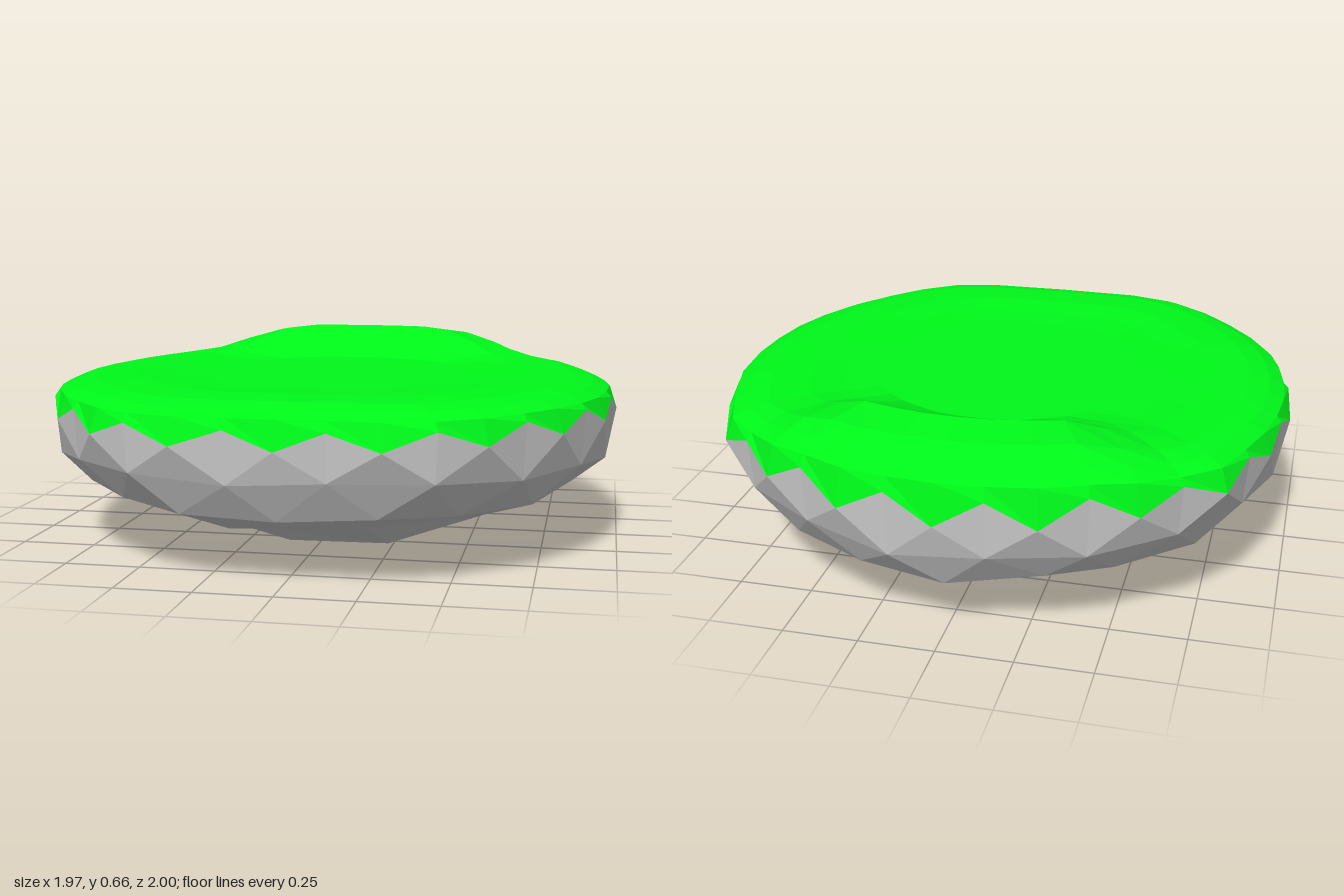
import * as THREE from 'three';

const N = 20; // facets round the rim; the grass uses twice as many columns

// Rim radius every 9 degrees, from the front (+z) round to the back (-z)
const RIM = [
  0.997, 1.005, 1.04, 1.062, 1.05, 1.03, 1.02, 1.01, 1.0, 0.99, 0.987,
  0.985, 0.99, 1.0, 1.028, 1.01, 1.012, 1.005, 1.012, 1.003, 1.0,
];

// Rim radius at step t (18 degrees each), mirrored left to right
function rim(t) {
  let h = (((t % N) + N) % N) * 2;
  if (h > N) h = 2 * N - h;
  const i = Math.min(Math.floor(h), N - 1);
  return THREE.MathUtils.lerp(RIM[i], RIM[i + 1], h - i);
}

// Point at step t, at fraction f of the rim radius
function polar(t, f, y) {
  const a = (t / N) * Math.PI * 2, r = rim(t) * f;
  return [Math.sin(a) * r, y, Math.cos(a) * r];
}

// Strength of the raised mound, strongest at the back
function mound(t) {
  const degrees = Math.abs(((t % N) + N) % N - N / 2) * 360 / N;
  return 1 - THREE.MathUtils.smoothstep(degrees, 21, 52);
}

// 0 at front and back, 1 at the left and right
const sideways = (t) => Math.abs(Math.sin((t / N) * Math.PI * 2));

// Zigzag seam where the grass hangs over the rock
function seam(k) {
  const t = k / 2;
  return k % 2 === 0
    ? polar(t, 1, 0.432 + 0.02 * sideways(t))
    : polar(t, 0.99, 0.488 + 0.02 * sideways(t) + 0.03 * mound(t));
}

const wobble = (i, s) => Math.sin(i * 2.4 + s * 1.7) * Math.cos(i * 1.3 + s);

function facetMesh(name, triangles, color) {
  const geometry = new THREE.BufferGeometry();
  geometry.setAttribute('position', new THREE.Float32BufferAttribute(triangles.flat(2), 3));
  geometry.computeVertexNormals();
  const mesh = new THREE.Mesh(geometry, new THREE.MeshStandardMaterial({ color, flatShading: true }));
  mesh.name = name;
  return mesh;
}

function makeGrass() {
  // [fraction of rim, plain height, height on the mound]
  const profile = [
    [0.3, 0.556, 0.556], [0.47, 0.556, 0.558], [0.59, 0.56, 0.61], [0.71, 0.567, 0.664],
    [0.85, 0.562, 0.645], [0.92, 0.548, 0.605], [0.972, 0.525, 0.565],
  ];
  const columns = Array.from({ length: N * 2 }, (_, k) => k);
  const rings = profile.map(([f, y, top]) => columns.map((k) =>
    polar(k / 2, f, THREE.MathUtils.lerp(y, top, mound(k / 2)))));
  rings.push(columns.map(seam));
  const triangles = [];
  for (const k of columns) {
    const n = (k + 1) % (N * 2);
    triangles.push([[0, 0.556, 0], rings[0][k], rings[0][n]]);
    for (let r = 0; r < rings.length - 1; r++) {
      const a = rings[r], b = rings[r + 1];
      triangles.push([a[k], b[k], b[n]], [a[k], b[n], a[n]]);
    }
  }
  return facetMesh('grass', triangles, 0x00f81a);
}

function makeRock() {
  const ring = (count, make) => Array.from({ length: count }, (_, i) => make(i));
  const peaks = ring(N, (i) => seam(2 * i + 1));
  const dips = ring(N, (i) => seam(2 * i));
  const waist = ring(N, (i) => polar(i + 0.5, 0.975, 0.325 + 0.025 * wobble(i, 1)));
  const hip = ring(N, (i) => {
    const s = sideways(i);
    return polar(i + 0.15 * wobble(i, 4), 0.905 - 0.02 * s, 0.2 + 0.035 * s + 0.02 * wobble(i, 2));
  });
  const belly = ring(N / 2, (i) =>
    polar(2 * i + 1, 0.69, 0.12 + 0.035 * sideways(2 * i + 1) + 0.012 * wobble(i, 3)));
  // Underside shelf, moved forward and lower on the +x side
  const base = ring(N / 4, (i) => {
    const [x, , z] = polar(4 * i + 2, 0.42, 0);
    return [x, 0.065 - 0.085 * x, z + 0.1];
  });
  const tip = [-0.11, 0, 0.3];
  const triangles = [];

  // Staggered bands of equal count
  for (let i = 0; i < N; i++) {
    const n = (i + 1) % N;
    triangles.push([peaks[i], dips[i], waist[i]], [peaks[i], waist[i], dips[n]]);
    triangles.push([dips[n], waist[i], waist[n]]);
    triangles.push([waist[i], hip[i], hip[n]], [waist[i], hip[n], waist[n]]);
  }
  // Each inner ring has half as many corners
  for (const [outer, inner] of [[hip, belly], [belly, base]]) {
    for (let j = 0; j < inner.length; j++) {
      const a = outer[2 * j], b = outer[2 * j + 1], c = outer[(2 * j + 2) % outer.length];
      triangles.push([a, inner[j], b], [b, inner[j], c], [c, inner[j], inner[(j + 1) % inner.length]]);
    }
  }
  // Fan to the lowest point
  base.forEach((p, j) => triangles.push([p, tip, base[(j + 1) % base.length]]));
  return facetMesh('rock', triangles, 0xcccccc);
}

export function createModel() {
  const island = new THREE.Group();
  island.name = 'floatingIsland';
  island.add(makeGrass(), makeRock());
  return island;
}
